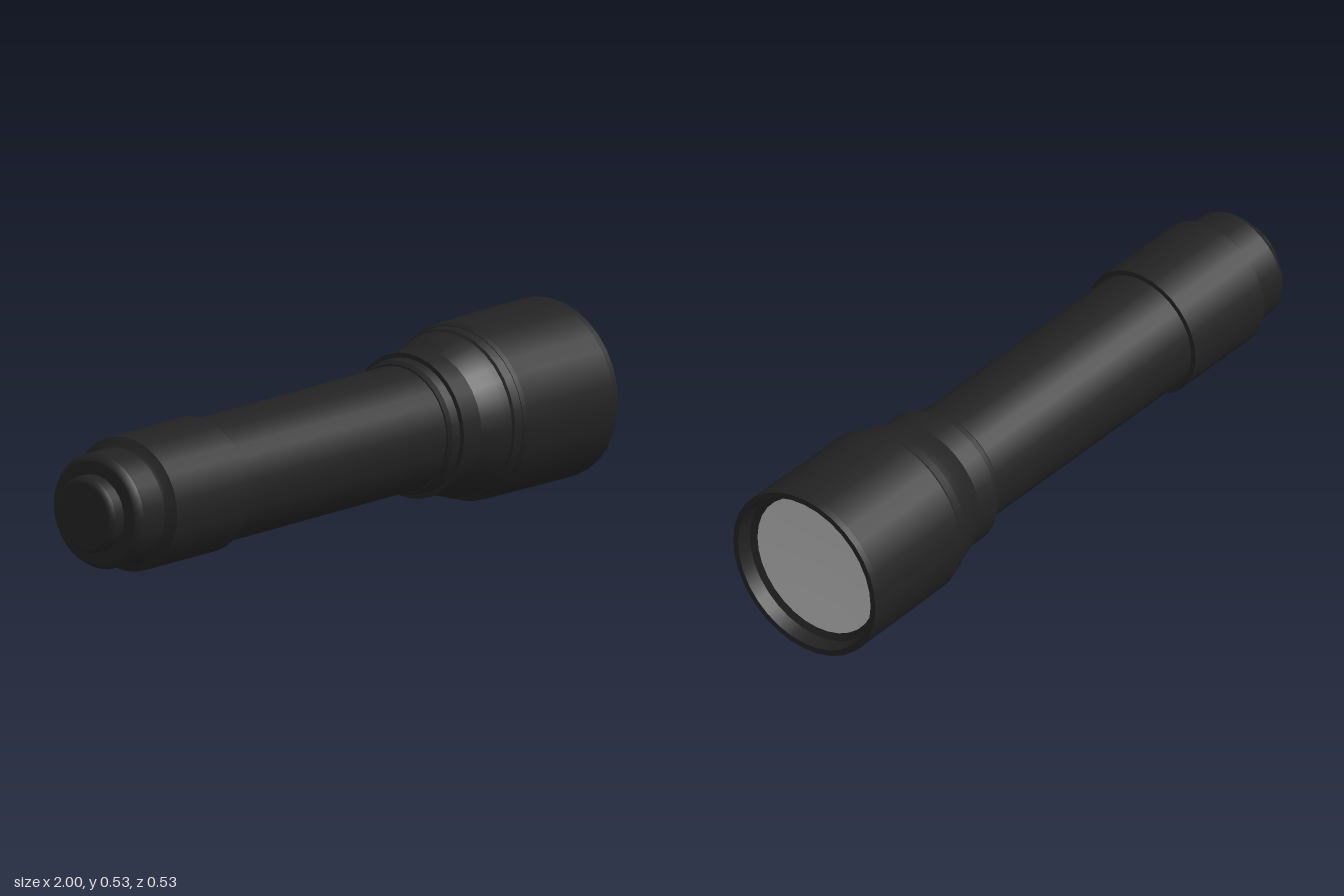
import * as THREE from 'three';

const AXIS_Y = 0.263; // height of the torch's long axis
const SIDES = 32;

const black = new THREE.MeshStandardMaterial({ color: 0x222222 });
black.name = 'black casing';
const silver = new THREE.MeshStandardMaterial({ color: 0xb4b4b4 });
silver.name = 'silver lens';

// Turns a profile of [x, radius] points about the long axis.
// Corners marked with a third value are doubled so that they stay sharp.
function turned(name, profile, material) {
  const points = [];
  for (const [x, r, sharp] of profile) {
    points.push(new THREE.Vector2(r, x));
    if (sharp) points.push(new THREE.Vector2(r, x));
  }
  const geometry = new THREE.LatheGeometry(points, SIDES);
  geometry.rotateZ(-Math.PI / 2);
  const mesh = new THREE.Mesh(geometry, material);
  mesh.name = name;
  mesh.position.y = AXIS_Y;
  return mesh;
}

export function createModel() {
  const torch = new THREE.Group();
  torch.name = 'flashlight';

  torch.add(
    // Push button at the tail end
    turned('tailButton', [
      [-1, 0], [-1, 0.095], [-0.996, 0.104], [-0.985, 0.111, 1], [-0.94, 0.111],
    ], black),

    // Tail cap: narrow end, then a sloping shoulder up to the wide sleeve
    turned('tailCap', [
      [-0.95, 0.1], [-0.95, 0.15, 1], [-0.945, 0.16], [-0.93, 0.168, 1],
      [-0.84, 0.168, 1], [-0.832, 0.176], [-0.818, 0.196, 1],
      [-0.51, 0.197, 1], [-0.51, 0.17],
    ], black),

    // Plain tube held in the hand
    turned('barrel', [[-0.53, 0.181], [0.38, 0.181]], black),

    // Collar between barrel and head
    turned('collar', [
      [0.355, 0.17], [0.355, 0.186, 1], [0.365, 0.196, 1],
      [0.395, 0.198, 1], [0.395, 0.19],
    ], black),

    // Flared neck
    turned('neck', [
      [0.395, 0.18], [0.395, 0.212, 1], [0.47, 0.212, 1], [0.5, 0.222],
      [0.54, 0.235], [0.57, 0.24, 1], [0.575, 0.247, 1],
      [0.605, 0.25, 1], [0.605, 0.23],
    ], black),

    // Head shell, wrapping over the rim to the seat of the lens
    turned('head', [
      [0.605, 0.22], [0.605, 0.252, 1], [0.615, 0.259, 1], [0.98, 0.263, 1],
      [1, 0.262, 1], [1, 0.244, 1], [0.955, 0.238, 1], [0.945, 0.216],
    ], black),

    // Shallow dished lens
    turned('lens', [
      [0.946, 0.217], [0.94, 0.16], [0.934, 0.08], [0.932, 0],
    ], silver),
  );

  return torch;
}
